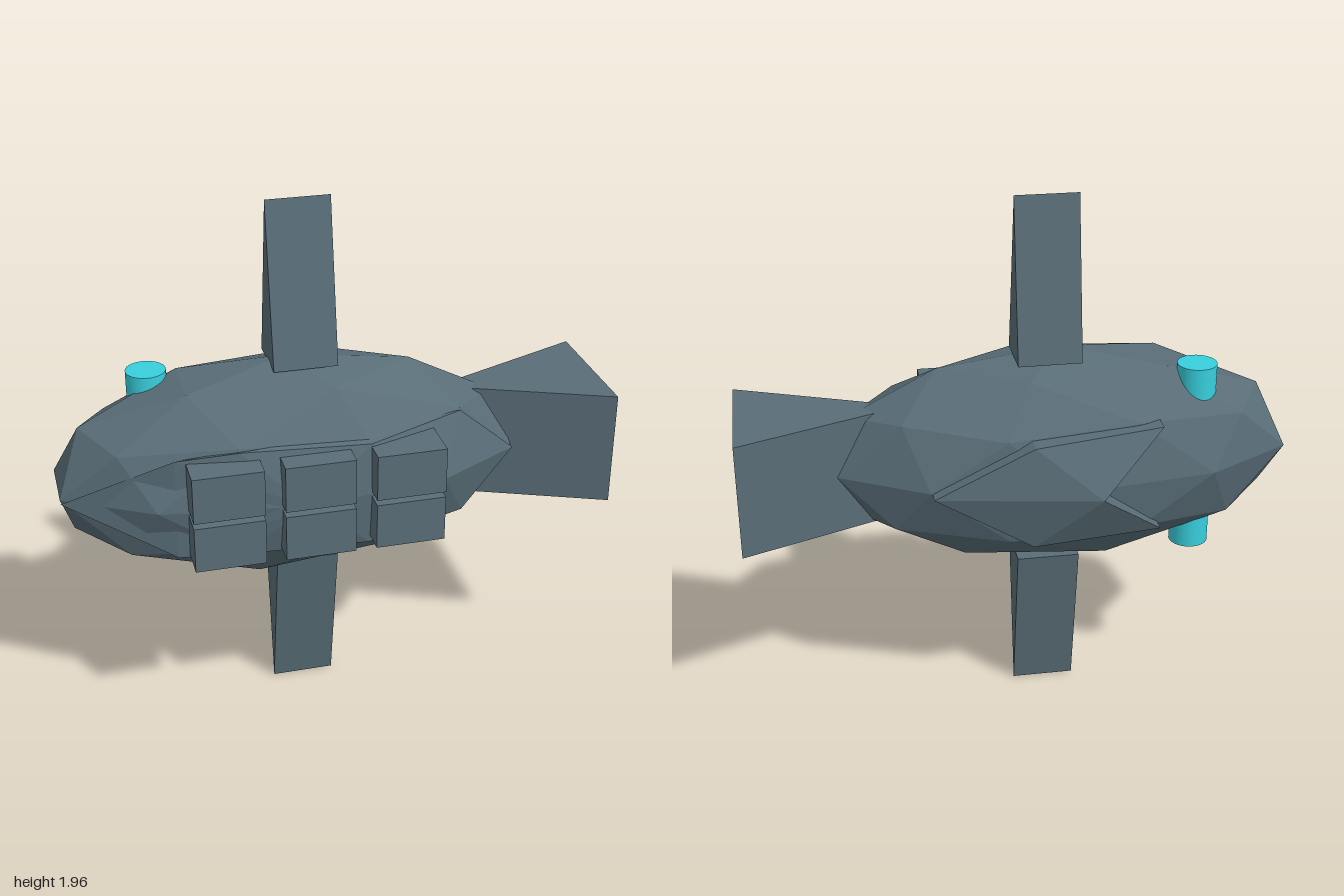
import * as THREE from 'three';
import { ConvexGeometry } from 'three/addons/geometries/ConvexGeometry.js';

export function createModel() {
  const group = new THREE.Group();
  const slate = new THREE.MeshStandardMaterial({ color: 0x596d77 });
  slate.name = 'slate hull';
  const cyan = new THREE.MeshStandardMaterial({ color: 0x38cfdd });
  cyan.name = 'cyan';

  const add = (name, geometry, material = slate) => {
    const mesh = new THREE.Mesh(geometry, material);
    mesh.name = name;
    group.add(mesh);
    return mesh;
  };

  // Triangular prism along +z from three 2D points
  const prism = (points, depth) => new THREE.ExtrudeGeometry(
    new THREE.Shape(points.map(([x, y]) => new THREE.Vector2(x, y))),
    { depth, bevelEnabled: false });

  // Faceted hull: icosphere with poles up, stretched along x
  const hull = new THREE.IcosahedronGeometry(1, 1);
  hull.rotateZ(-Math.atan(2 / (1 + Math.sqrt(5))));
  hull.scale(0.867, 0.41, 0.36);
  hull.translate(-0.175, 0.98, 0.02);
  hull.computeVertexNormals();
  add('hull', hull);

  // Slightly raised armour on the front side
  const frontPoints = [
    [-1, 0.98, 0.16], [-0.62, 1.17, 0.30], [-0.62, 0.79, 0.30],
    [-0.40, 1.19, 0.33], [-0.40, 0.79, 0.33], [-0.175, 0.98, 0.385],
    [0.06, 1.17, 0.34], [0.06, 0.77, 0.33], [0.335, 0.98, 0.32],
    [0.42, 1.19, 0.21], [0.44, 0.78, 0.21], [0.65, 0.98, 0.15],
    [-0.2, 1.1, 0.1], [-0.2, 0.86, 0.1],
  ];
  add('frontPanel', new ConvexGeometry(frontPoints.map((p) => new THREE.Vector3(...p))));

  // Raised notched plate on the rear side: a fan with a rim
  const A = [0.33, 0.98, -0.32], B = [-0.02, 1.165, -0.35], C = [-0.25, 0.98, -0.42];
  const D = [-0.02, 0.77, -0.33], E = [-0.48, 1.195, -0.31], F = [-0.48, 0.80, -0.32];
  const corners = [C, B, A, C, E, B, C, D, F, C, A, D];
  const inner = ([x, y, z]) => [x, y, z + 0.09];
  const loop = [A, B, E, C, F, D];
  loop.forEach((p, i) => {
    const q = loop[(i + 1) % loop.length];
    corners.push(p, q, inner(q), p, inner(q), inner(p));
  });
  const plate = new THREE.BufferGeometry();
  plate.setAttribute('position', new THREE.Float32BufferAttribute(corners.flat(), 3));
  plate.computeVertexNormals();
  add('rearPanel', plate);

  // Upper and lower wedge fins
  for (const [name, base, tip] of [['topFin', 1.365, 1.955], ['bottomFin', 0.59, 0]]) {
    const fin = prism([[-0.105, base], [0.1, base], [0, tip]], 0.23);
    fin.rotateY(Math.PI / 2);
    fin.translate(-0.23, 0, 0);
    add(name, fin);
  }

  // Tail wedge widening to the end
  const tail = prism([[0.39, -0.015], [1, -0.262], [1, 0.235]], 0.43);
  tail.rotateX(-Math.PI / 2);
  tail.translate(0, 0.765, 0);
  add('tail', tail);

  // Two rows of side pods
  for (const y of [0.885, 1.075]) {
    for (const x of [-0.458, -0.14, 0.182]) {
      add('sidePod', new THREE.BoxGeometry(0.248, 0.17, 0.16)).position.set(x, y, 0.342);
    }
  }

  // Vertical cyan post showing above and below the hull
  add('turretPost', new THREE.CylinderGeometry(0.072, 0.072, 0.715, 32), cyan)
    .position.set(-0.65, 0.978, -0.092);

  return group;
}
